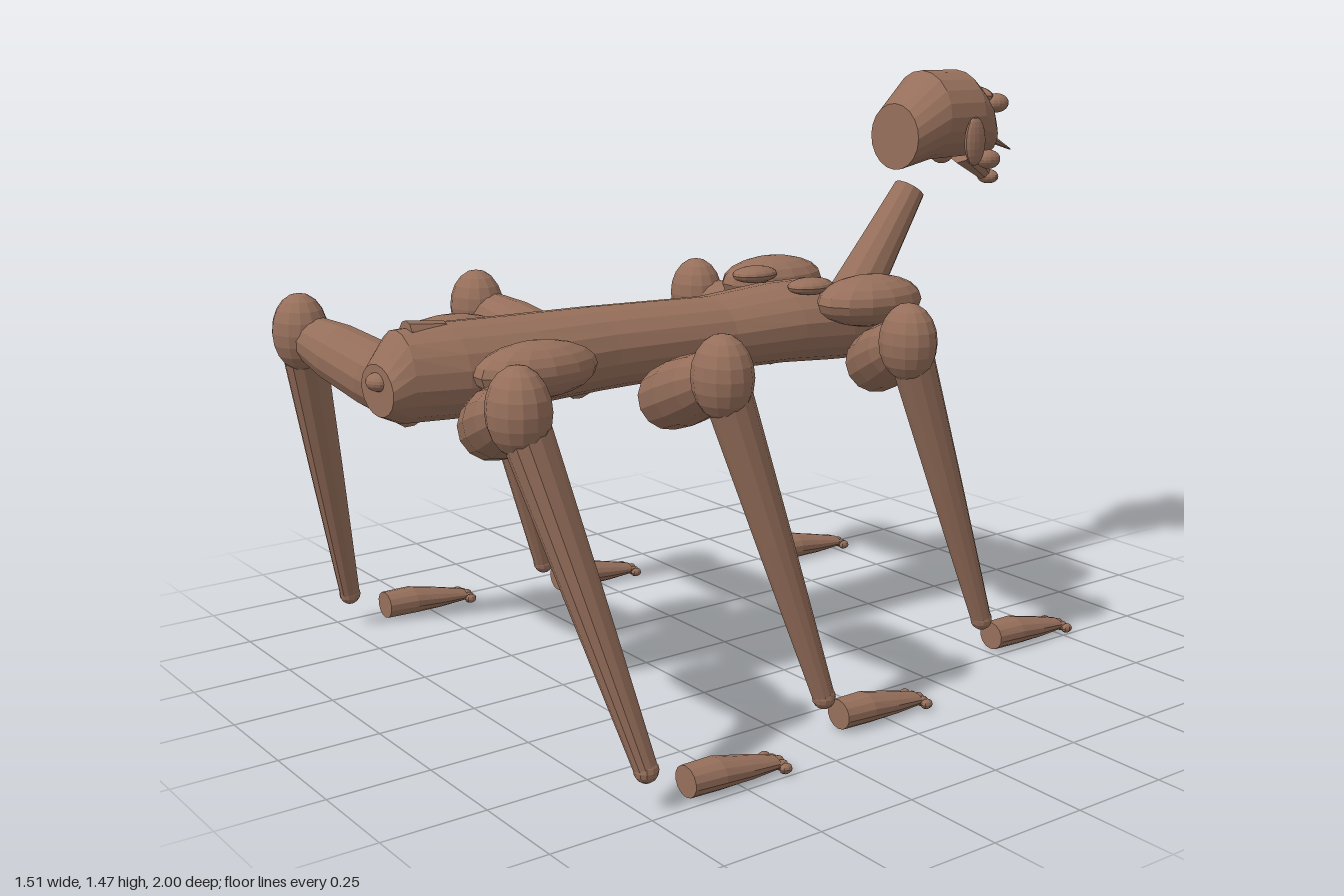
import * as THREE from 'three';

const V = (x, y, z) => new THREE.Vector3(x, y, z);

export function createModel() {
  const root = new THREE.Group();
  root.name = 'sixLeggedCreature';
  const skin = new THREE.MeshStandardMaterial({ color: 0x966f5b, flatShading: true });
  skin.name = 'brown skin';

  const add = (name, geo, parent = root) => {
    const mesh = new THREE.Mesh(geo, skin);
    mesh.name = name;
    parent.add(mesh);
    return mesh;
  };

  // Ellipsoid from centre and three radii
  const blob = (name, c, r, parent, w = 14, h = 10) => {
    const mesh = add(name, new THREE.SphereGeometry(1, w, h), parent);
    mesh.position.set(...c);
    mesh.scale.set(...r);
    return mesh;
  };

  // Capped loft along z; rings [z, centreY, radiusX, radiusY] run from +z to -z
  const loft = (name, rings, sides, parent) => {
    const n = rings.length - 1;
    const geo = new THREE.CylinderGeometry(1, 1, 1, sides, n);
    const p = geo.attributes.position;
    for (let i = 0; i < p.count; i++) {
      const [z, cy, rx, ry] = rings[Math.round((0.5 - p.getY(i)) * n)];
      p.setXYZ(i, p.getX(i) * rx, cy - p.getZ(i) * ry, z);
    }
    geo.computeVertexNormals();
    return add(name, geo, parent);
  };

  // Capped round limb from a to b with evenly spaced radii
  const limb = (name, a, b, radii, parent, sides = 12) => {
    const dir = b.clone().sub(a), len = dir.length(), n = radii.length - 1;
    const geo = new THREE.CylinderGeometry(1, 1, len, sides, n);
    const p = geo.attributes.position;
    for (let i = 0; i < p.count; i++) {
      const r = radii[Math.round((p.getY(i) / len + 0.5) * n)];
      p.setXYZ(i, p.getX(i) * r, p.getY(i), p.getZ(i) * r);
    }
    geo.computeVertexNormals();
    const mesh = add(name, geo, parent);
    mesh.position.copy(a).add(b).multiplyScalar(0.5);
    mesh.quaternion.setFromUnitVectors(V(0, 1, 0), dir.normalize());
    return mesh;
  };

  // Torso, tail and rump
  loft('torso', [
    [0.97, 0.82, 0.08, 0.06],
    [0.92, 0.845, 0.095, 0.108],
    [0.8, 0.845, 0.13, 0.112],
    [0.6, 0.845, 0.14, 0.107],
    [0.4, 0.847, 0.128, 0.102],
    [0.05, 0.843, 0.125, 0.094],
    [-0.15, 0.848, 0.15, 0.103],
    [-0.3, 0.842, 0.16, 0.108],
    [-0.44, 0.815, 0.13, 0.09],
  ], 18);
  limb('tailStub', V(0, 0.935, 0.8), V(0, 0.94, 0.895), [0.026, 0.032], root, 10);
  blob('rumpKnob', [0, 0.84, 0.965], [0.035, 0.022, 0.03]);

  // Neck
  limb('neck', V(0, 0.89, -0.43), V(0, 1.16, -0.622), [0.068, 0.055, 0.043]);

  // Head
  const head = new THREE.Group();
  head.name = 'head';
  root.add(head);
  loft('skull', [
    [-0.565, 1.303, 0.094, 0.088],
    [-0.66, 1.355, 0.12, 0.12],
    [-0.785, 1.355, 0.12, 0.118],
    [-0.835, 1.335, 0.105, 0.095],
    [-0.875, 1.3, 0.075, 0.065],
  ], 20, head);
  limb('noseSpike', V(0, 1.305, -0.865), V(0, 1.245, -1.0), [0.02, 0.002], head, 8);
  blob('brow', [0, 1.405, -0.825], [0.1, 0.027, 0.03], head);
  blob('upperLip', [0, 1.24, -0.865], [0.06, 0.016, 0.03], head);
  limb('jaw', V(0, 1.25, -0.82), V(0, 1.185, -0.9), [0.04, 0.02], head, 8);
  blob('chin', [0, 1.175, -0.915], [0.034, 0.02, 0.026], head);

  // Paired parts, mirrored
  for (const s of [1, -1]) {
    const side = s > 0 ? 'left' : 'right';
    blob(side + 'Ear', [s * 0.125, 1.29, -0.74], [0.017, 0.065, 0.036], head);
    blob(side + 'BrowBump', [s * 0.085, 1.385, -0.855], [0.032, 0.026, 0.035], head);
    blob(side + 'Cheek', [s * 0.092, 1.235, -0.825], [0.028, 0.026, 0.035], head);
    blob(side + 'Eye', [s * 0.045, 1.335, -0.86], [0.018, 0.018, 0.016], head, 10, 8);
    blob(side + 'Shoulder', [s * 0.2, 0.918, -0.31], [0.1, 0.065, 0.155]);
    blob(side + 'ShoulderBlade', [s * 0.115, 0.955, -0.185], [0.048, 0.022, 0.066]);
    blob(side + 'Collarbone', [s * 0.115, 0.875, -0.465], [0.055, 0.026, 0.06]);
    blob(side + 'Hip', [s * 0.198, 0.865, 0.675], [0.087, 0.066, 0.155]);
  }

  // Legs: inner thigh end, knee, ankle, heel z
  const legs = [
    ['front', [0.19, 0.75, -0.34], [0.437, 0.857, -0.228], [0.457, 0.1, -0.485], -0.522],
    ['middle', [0.18, 0.745, 0.3], [0.54, 0.873, 0.41], [0.618, 0.1, 0.177], 0.132],
    ['rear', [0.175, 0.745, 0.78], [0.525, 0.866, 0.915], [0.703, 0.1, 0.732], 0.63],
  ];
  for (const s of [1, -1]) {
    for (const [where, thigh, knee, ankle, heel] of legs) {
      const leg = new THREE.Group();
      leg.name = where + (s > 0 ? 'LeftLeg' : 'RightLeg');
      root.add(leg);
      const at = (p) => V(s * p[0], p[1], p[2]);
      const k = at(knee), a = at(ankle);
      limb('thigh', at(thigh), k, [0.078, 0.082, 0.074, 0.05], leg, 14);
      blob('knee', k.toArray(), [0.077, 0.097, 0.068], leg);
      limb('shin', a, k, [0.026, 0.042, 0.056], leg);
      blob('ankle', a.toArray(), [0.028, 0.028, 0.028], leg, 12, 8);

      // Foot pointing forward, with five toes
      const foot = new THREE.Group();
      foot.name = 'foot';
      foot.position.set(a.x, 0, heel);
      leg.add(foot);
      loft('sole', [
        [0, 0.046, 0.039, 0.036],
        [-0.08, 0.045, 0.045, 0.036],
        [-0.16, 0.036, 0.039, 0.027],
        [-0.24, 0.028, 0.028, 0.015],
      ], 14, foot);
      for (let i = -2; i <= 2; i++) {
        const r = i === 0 ? 0.014 : 0.012;
        blob('toe', [i * 0.02, 0.025, -0.25 + Math.abs(i) * 0.004], [r, r, 0.017], foot, 8, 6);
      }
    }
  }
  return root;
}
